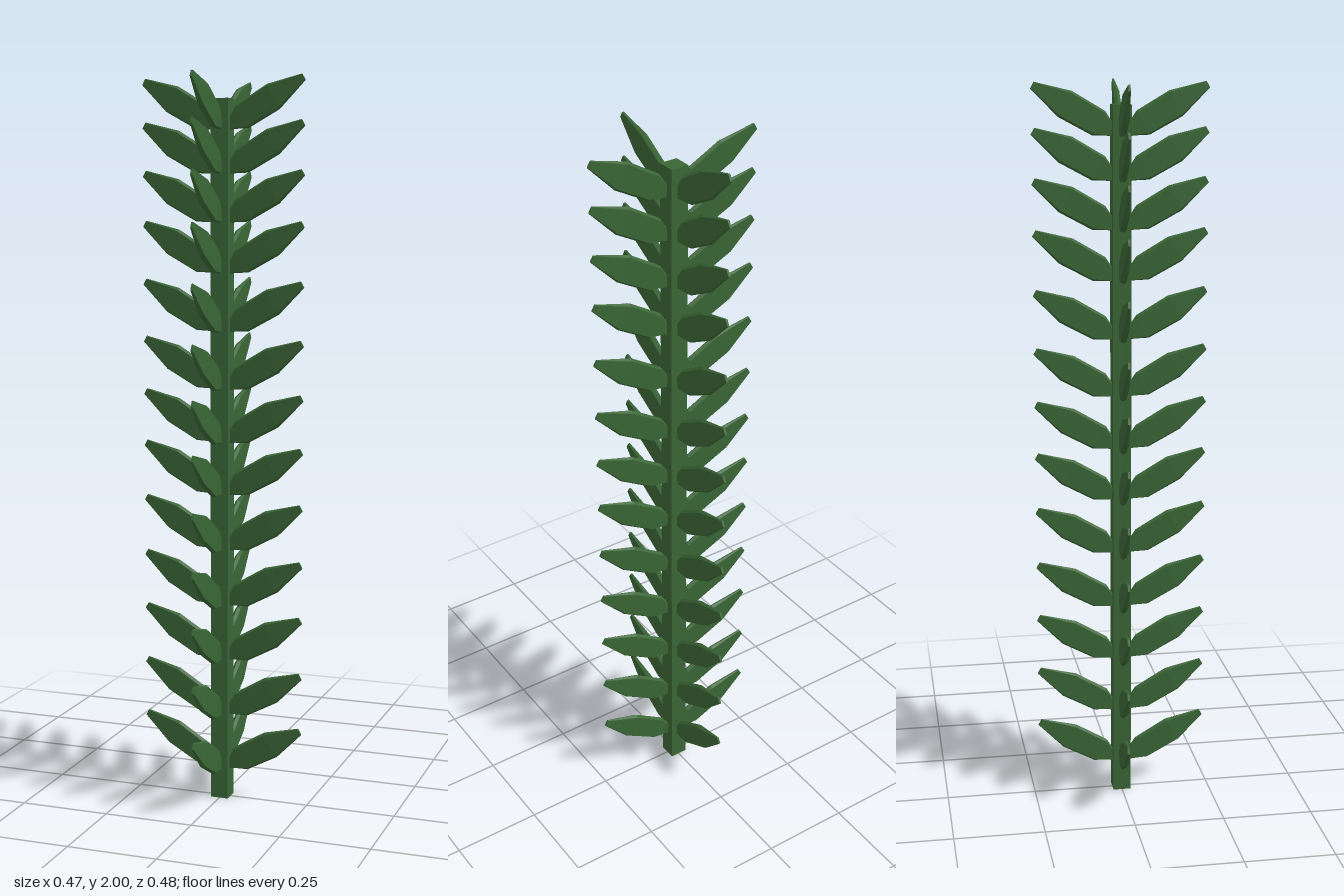
import * as THREE from 'three';

// Flat leaf blade: hexagonal rings [distance, half width, half thickness] along +y
function leafGeometry() {
  const rings = [
    [0, 0.013, 0.006],
    [0.012, 0.018, 0.007],
    [0.047, 0.036, 0.008],
    [0.148, 0.038, 0.008],
    [0.246, 0.010, 0.003],
  ];
  const n = rings.length - 1;
  const geo = new THREE.CylinderGeometry(1, 1, n, 6, n, false, Math.PI / 6);
  const pos = geo.attributes.position;
  for (let i = 0; i < pos.count; i++) {
    const [d, w, t] = rings[Math.round(pos.getY(i) + n / 2)];
    // push the shoulders outward so the blade has broad flat faces
    const x = pos.getX(i), z = pos.getZ(i);
    const across = Math.abs(x) > 0.8 ? Math.sign(x) : Math.sign(x) * (Math.abs(x) > 0.1 ? 0.85 : 0);
    pos.setXYZ(i, across * w, d, (z / 0.866) * t);
  }
  geo.computeVertexNormals();
  // lean the blade outward along +x, root just inside the stem
  geo.rotateZ(-Math.PI / 2 + 0.513);
  geo.translate(0.0184, -0.131, 0);
  return geo;
}

export function createModel() {
  const plant = new THREE.Group();
  plant.name = 'leafyStalk';
  const green = new THREE.MeshStandardMaterial({ color: 0x3a6636, flatShading: true });

  // Square stem
  const stem = new THREE.Mesh(new THREE.BoxGeometry(0.05, 1.94, 0.05), green);
  stem.name = 'stem';
  stem.position.y = 0.97;
  plant.add(stem);

  // Whorls of four leaves, listed by the height of their tips
  const leaf = leafGeometry();
  const tipHeights = [0.225, 0.382, 0.54, 0.695, 0.853, 1.008, 1.153, 1.3, 1.458, 1.617, 1.753, 1.883, 2.0];
  const turns = [-0.067, Math.PI / 2, Math.PI - 0.067, -Math.PI / 2];
  tipHeights.forEach((y) => {
    const whorl = new THREE.Group();
    whorl.name = 'leafWhorl';
    whorl.position.y = y;
    turns.forEach((turn) => {
      const blade = new THREE.Mesh(leaf, green);
      blade.name = 'leaf';
      blade.rotation.y = turn;
      whorl.add(blade);
    });
    plant.add(whorl);
  });

  return plant;
}
